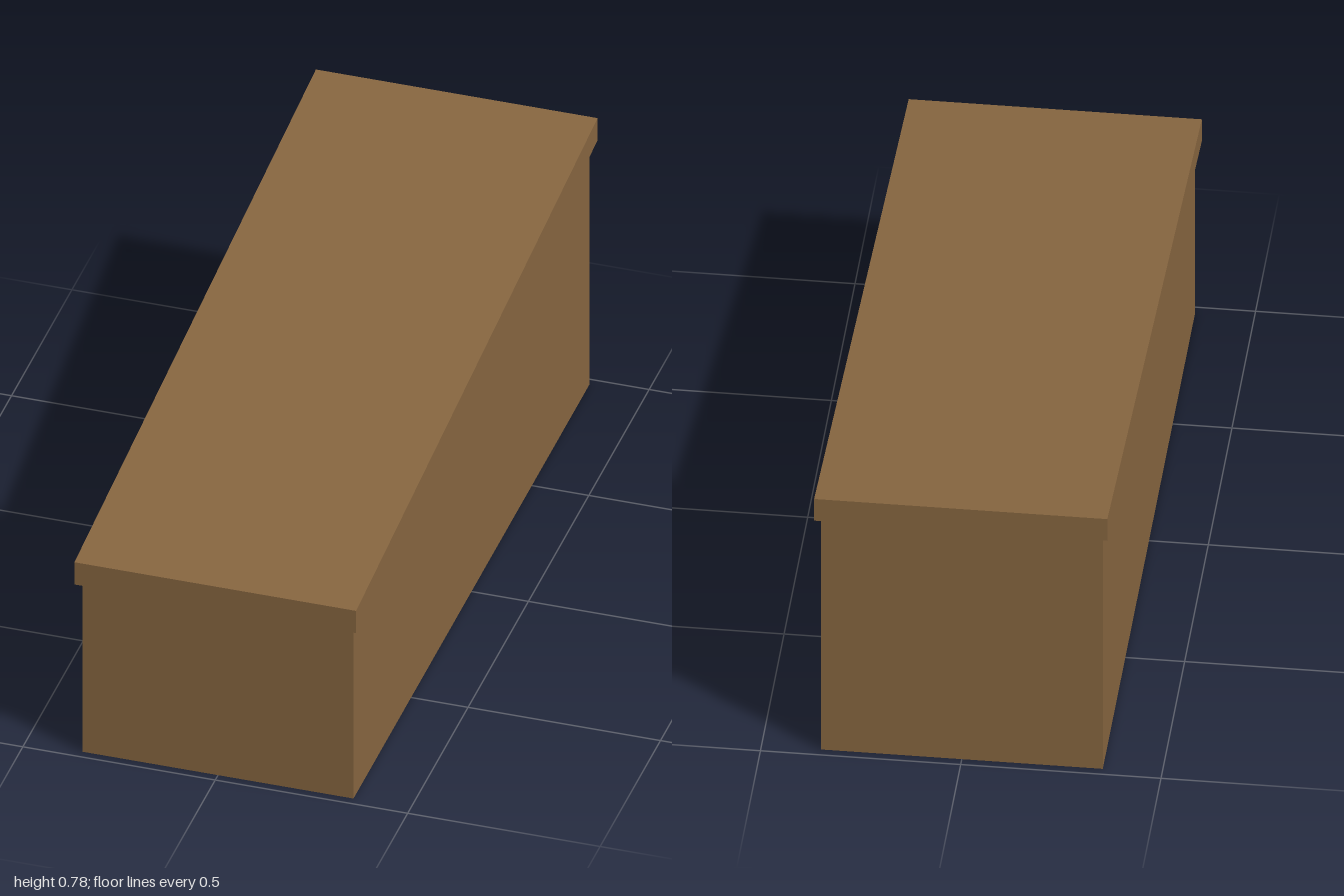
import * as THREE from 'three';

// Height of the sloping underside of the lid at depth z
const slopeY = (z) => 0.611 - 0.1025 * z;

// Four corners of a rectangle, counter-clockwise seen from above
const loop = (hx, hz, height) =>
  [[-hx, hz], [hx, hz], [hx, -hz], [-hx, -hz]].map(([x, z]) => [x, height(z), z]);

// Skin a list of loops with quads, optionally closing the last one
function skin(loops, capped) {
  const pos = [];
  const quad = (a, b, c, d) => pos.push(...a, ...b, ...c, ...a, ...c, ...d);
  for (let k = 0; k < loops.length - 1; k++) {
    const lo = loops[k], hi = loops[k + 1];
    for (let i = 0; i < 4; i++) {
      const j = (i + 1) % 4;
      quad(lo[i], lo[j], hi[j], hi[i]);
    }
  }
  if (capped) quad(...loops[loops.length - 1]);
  const geo = new THREE.BufferGeometry();
  geo.setAttribute('position', new THREE.Float32BufferAttribute(pos, 3));
  geo.computeVertexNormals();
  return geo;
}

export function createModel() {
  const group = new THREE.Group();
  group.name = 'slopedBox';

  const wood = new THREE.MeshStandardMaterial({ color: 0x876640, side: THREE.DoubleSide });
  wood.name = 'brown wood';

  const add = (name, geo) => {
    const mesh = new THREE.Mesh(geo, wood);
    mesh.name = name;
    group.add(mesh);
  };

  // Thin walls, open at the bottom and under the lid
  const wallTop = loop(0.352, 0.977, slopeY);
  add('walls', skin([loop(0.352, 0.977, () => 0), wallTop], false));

  // Hollow lid: overhanging lip, rim and sloping top
  add('lid', skin([
    wallTop,
    loop(0.366, 1, slopeY),
    loop(0.366, 1, (z) => slopeY(z) + 0.066),
  ], true));

  return group;
}
